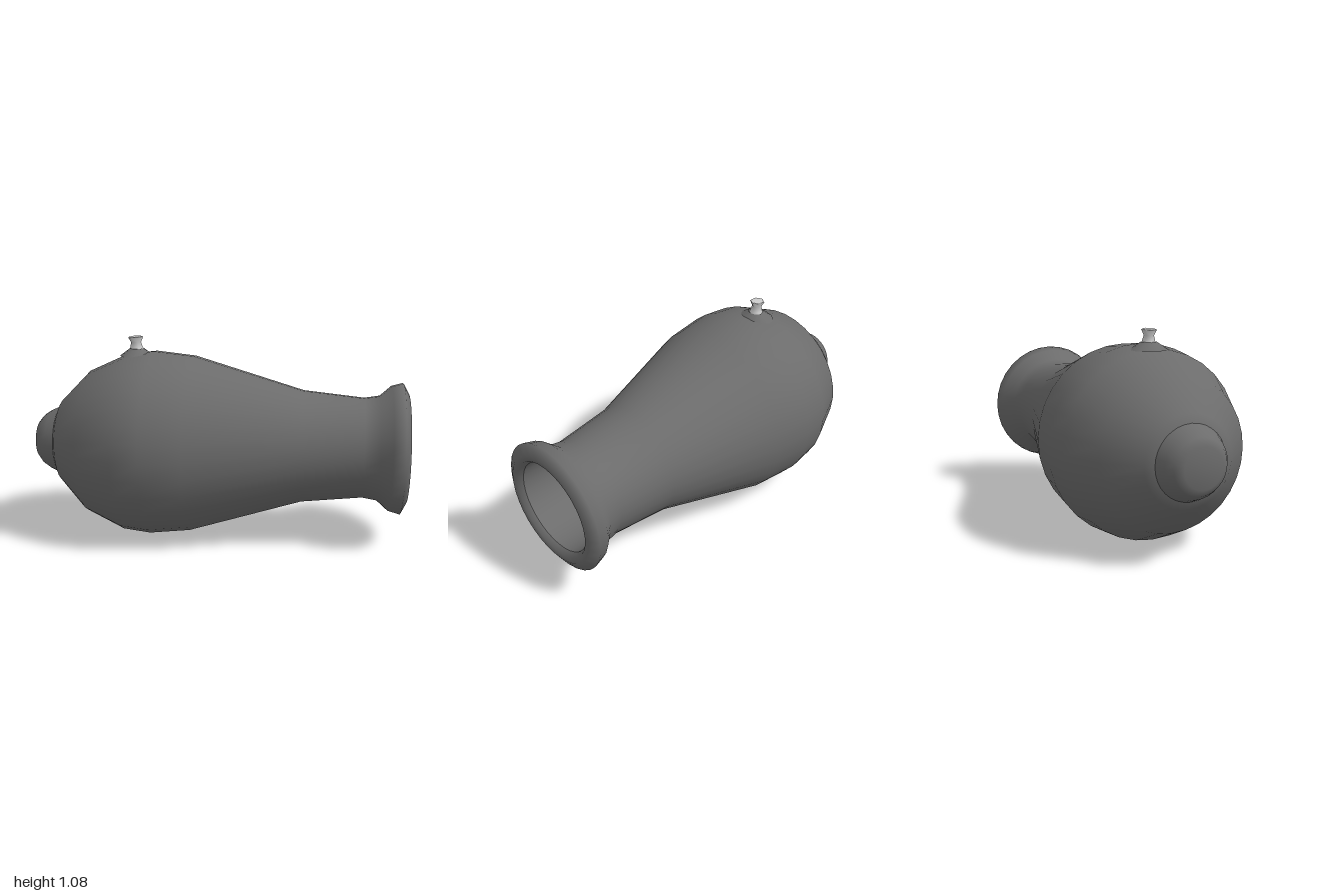
import * as THREE from 'three';

const SIDES = 32;
const AXIS_Y = 0.498;

// Revolves [x, radius] pairs around the horizontal axis of the vessel
function revolve(name, profile, material) {
  const points = profile.map(([x, r]) => new THREE.Vector2(r, x));
  const geometry = new THREE.LatheGeometry(points, SIDES);
  geometry.rotateZ(-Math.PI / 2);
  const mesh = new THREE.Mesh(geometry, material);
  mesh.name = name;
  mesh.position.y = AXIS_Y;
  return mesh;
}

export function createModel() {
  const group = new THREE.Group();
  group.name = 'vessel';
  const dark = new THREE.MeshStandardMaterial({ color: 0x6c6c6c });
  const light = new THREE.MeshStandardMaterial({ color: 0xcccccc });

  // Rounded knob at the closed end
  group.add(revolve('endKnob', [
    [-1, 0], [-1, 0.1], [-0.97, 0.137], [-0.93, 0.163], [-0.88, 0.185],
  ], dark));

  // Bulging body, neck and flared mouth
  group.add(revolve('body', [
    [-0.88, 0.185], [-0.86, 0.228], [-0.705, 0.387], [-0.5, 0.481],
    [-0.355, 0.498], [-0.14, 0.475], [0.45, 0.3], [0.77, 0.267],
    [0.85, 0.28], [0.91, 0.333], [0.97, 0.35], [1, 0.295],
    [0.995, 0.265], [0.97, 0.247],
  ], dark));

  // Hollow inside
  group.add(revolve('innerWall', [
    [0.97, 0.247], [0.77, 0.247], [0.45, 0.275], [-0.14, 0.44],
    [-0.36, 0.46], [-0.5, 0.44], [-0.68, 0.355], [-0.8, 0.225],
    [-0.85, 0.1], [-0.86, 0],
  ], dark));

  // Raised skin that carries the spout
  const skirt = new THREE.Mesh(
    new THREE.CylinderGeometry(0.04, 0.1, 0.04, 12, 1, true), dark);
  skirt.name = 'spoutBase';
  skirt.scale.x = 0.9;
  skirt.position.set(-0.448, 0.992, -0.004);
  group.add(skirt);

  // Small six-sided waisted spout with a flared top
  const spoutProfile = [
    [0.043, -0.008], [0.034, 0.012], [0.027, 0.038], [0.041, 0.065], [0.036, 0.069], [0, 0.069],
  ].map(([r, y]) => new THREE.Vector2(r, y));
  const spout = new THREE.Mesh(new THREE.LatheGeometry(spoutProfile, 6, Math.PI / 2), light);
  spout.name = 'spout';
  spout.scale.z = 0.92;
  spout.position.set(-0.45, 1.006, -0.006);
  spout.rotation.z = 0.06;
  group.add(spout);

  return group;
}
